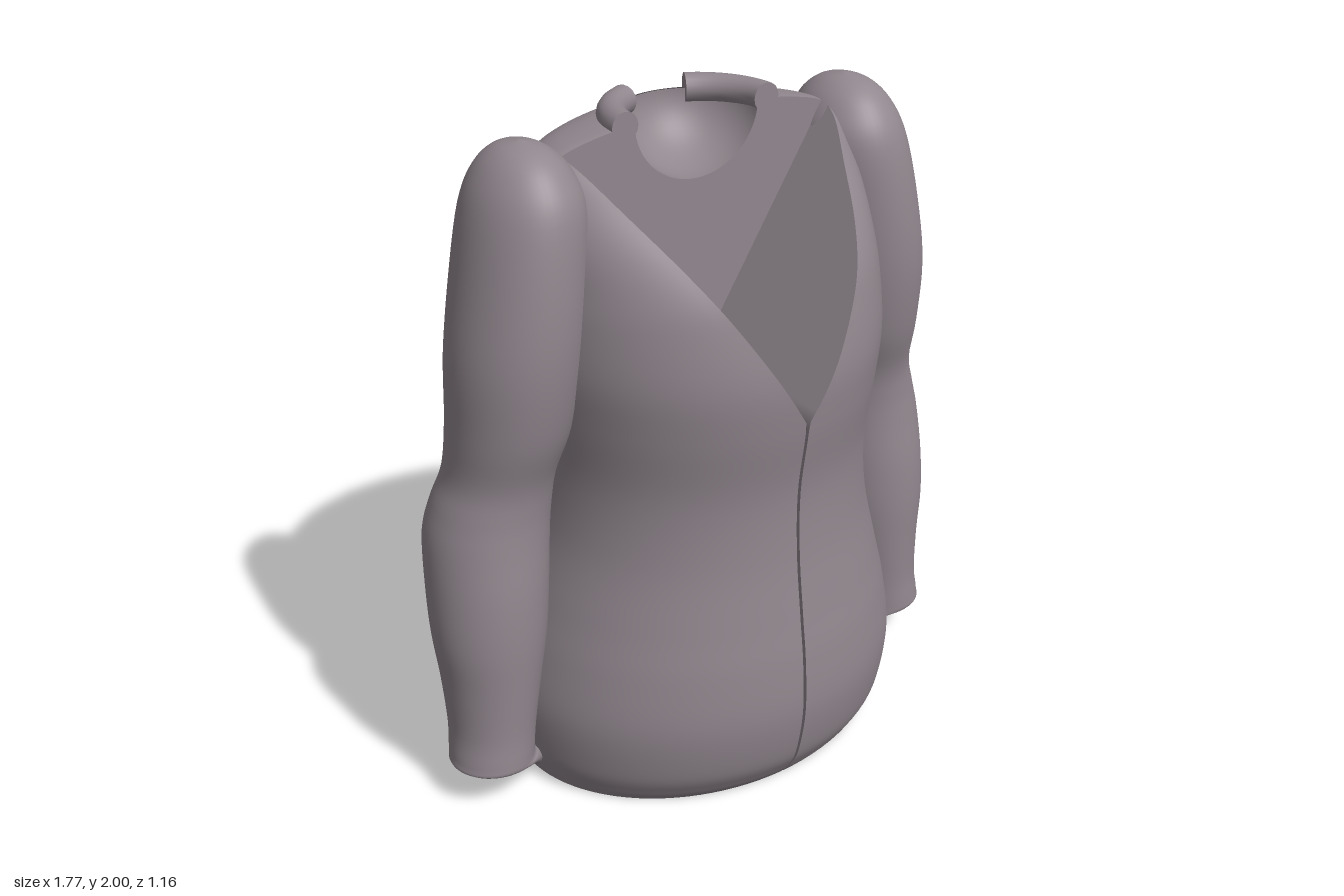
import * as THREE from 'three';
import { mergeVertices } from 'three/addons/utils/BufferGeometryUtils.js';

const CUT_Z = 0.03;      // back plane of the neckline cut
const RIM_Y = 1.96;      // height of the neck rim
const V_BOTTOM = 1.215;  // lowest point of the neckline

// Torso sections: height, half width, front depth, back depth
const TORSO = [
  [0, 0.6, 0.48, 0.52], [0.04, 0.615, 0.51, 0.54], [0.12, 0.635, 0.55, 0.56],
  [0.28, 0.645, 0.577, 0.577], [0.45, 0.615, 0.57, 0.54], [0.6, 0.575, 0.55, 0.5],
  [0.8, 0.525, 0.525, 0.47], [1, 0.51, 0.52, 0.455], [1.2, 0.53, 0.547, 0.45],
  [1.35, 0.545, 0.555, 0.445], [1.5, 0.54, 0.53, 0.44], [1.6, 0.53, 0.495, 0.43],
  [1.7, 0.525, 0.42, 0.41], [1.8, 0.515, 0.31, 0.36], [1.88, 0.49, 0.22, 0.3],
  [1.92, 0.43, 0.16, 0.26], [1.945, 0.33, 0.12, 0.225], [RIM_Y, 0.22, 0.1, 0.2],
];

// Arm sections: height, outer x, inner x, front z, back z
const ARM = [
  [0.03, 0.62, 0.58, 0.06, 0.02], [0.085, 0.7, 0.59, 0.11, -0.04], [0.115, 0.8, 0.61, 0.15, -0.07],
  [0.13, 0.875, 0.625, 0.168, -0.083], [0.16, 0.878, 0.625, 0.169, -0.09],
  [0.25, 0.868, 0.61, 0.165, -0.11], [0.4, 0.872, 0.58, 0.17, -0.14], [0.55, 0.885, 0.55, 0.175, -0.165],
  [0.7, 0.882, 0.53, 0.17, -0.195], [0.85, 0.868, 0.51, 0.155, -0.22], [0.95, 0.84, 0.5, 0.15, -0.205],
  [1.05, 0.806, 0.49, 0.16, -0.18], [1.2, 0.795, 0.45, 0.205, -0.175], [1.4, 0.785, 0.42, 0.235, -0.185],
  [1.6, 0.75, 0.4, 0.235, -0.195], [1.8, 0.705, 0.385, 0.21, -0.19], [1.9, 0.66, 0.42, 0.16, -0.15],
  [1.955, 0.605, 0.475, 0.09, -0.085], [1.975, 0.54, 0.54, 0, 0],
];

// Smoothly interpolates every column of a section table
function sampleRows(table, steps) {
  const columns = table[0].map((_, k) =>
    new THREE.SplineCurve(table.map((row) => new THREE.Vector2(row[0], row[k]))));
  const count = (table.length - 1) * steps;
  return Array.from({ length: count + 1 }, (_, i) => columns.map((c) => c.getPoint(i / count).y));
}

// Skins a list of equally long point rows
function loft(rows) {
  const n = rows[0].length;
  const index = [];
  for (let i = 0; i < rows.length - 1; i++) {
    for (let j = 0; j < n - 1; j++) {
      const a = i * n + j, b = a + 1, c = a + n, d = c + 1;
      index.push(a, b, d, a, d, c);
    }
  }
  const geometry = new THREE.BufferGeometry().setFromPoints(rows.flat());
  geometry.setIndex(index);
  const merged = mergeVertices(geometry, 1e-5);
  merged.computeVertexNormals();
  return merged;
}

// Horizontal torso section, open at the front where the seam and neckline cut it
function torsoRing([y, halfWidth, front, back]) {
  const cut = Math.max(0.005, (y - V_BOTTOM) / 1.6);
  const start = Math.min(Math.asin(Math.min(1, cut / halfWidth)), Math.acos(CUT_Z / front));
  const n = 96;
  return Array.from({ length: n + 1 }, (_, j) => {
    const t = start + (2 * Math.PI - 2 * start) * (j / n);
    const depth = Math.cos(t) > 0 ? front : back;
    return new THREE.Vector3(halfWidth * Math.sin(t), y, depth * Math.cos(t));
  });
}

function armRing([y, outer, inner, front, back], side) {
  const n = 48;
  return Array.from({ length: n + 1 }, (_, j) => {
    const t = (j / n) * Math.PI * 2;
    const x = (outer + inner) / 2 + side * ((outer - inner) / 2) * Math.sin(t);
    return new THREE.Vector3(side * x, y, (front + back) / 2 + ((front - back) / 2) * Math.cos(t));
  });
}

export function createModel() {
  const model = new THREE.Group();
  const cloth = new THREE.MeshStandardMaterial({ color: 0x91878e, side: THREE.DoubleSide });
  cloth.name = 'mauve grey cloth';
  const add = (name, geometry, parent = model) => {
    const mesh = new THREE.Mesh(geometry, cloth);
    mesh.name = name;
    parent.add(mesh);
    return mesh;
  };

  // Torso shell
  const rings = sampleRows(TORSO, 6).map(torsoRing);
  add('torso', loft(rings));

  // Flat sides of the neckline and front seam, running back to the cut plane
  const inset = (p) => new THREE.Vector3(p.x, p.y, CUT_Z);
  add('leftOpeningSide', loft(rings.map((r) => [inset(r[0]), r[0]])));
  add('rightOpeningSide', loft(rings.map((r) => [r[r.length - 1], inset(r[r.length - 1])])));

  // Flat panel behind the neckline, scooped out at the neck
  const edge = rings.map((r) => new THREE.Vector2(r[0].x, r[0].y));
  const scoop = Array.from({ length: 33 }, (_, i) => {
    const t = (i / 32) * Math.PI;
    return new THREE.Vector2(0.205 * Math.cos(t), RIM_Y - 0.19 * Math.sin(t));
  });
  const mirrored = edge.map((p) => new THREE.Vector2(-p.x, p.y)).reverse();
  const panel = new THREE.ShapeGeometry(new THREE.Shape([...edge, ...scoop, ...mirrored]));
  add('necklinePanel', panel).position.z = CUT_Z;

  // Neck hollow: back half of a bowl
  const bowl = new THREE.SphereGeometry(1, 32, 16, 0, Math.PI, Math.PI / 2, Math.PI / 2);
  bowl.scale(0.205, 0.19, 0.225);
  bowl.rotateY(Math.PI);
  add('neckHollow', bowl).position.set(0, RIM_Y, CUT_Z);

  // Flat underside, with the seam slit
  const first = rings[0];
  const outline = [...first, inset(first[first.length - 1]), inset(first[0])];
  const base = new THREE.ShapeGeometry(new THREE.Shape(outline.map((p) => new THREE.Vector2(p.x, p.z))));
  base.rotateX(Math.PI / 2);
  add('underside', base);

  // Sleeves
  const armRows = sampleRows(ARM, 5);
  for (const side of [1, -1]) {
    add(side > 0 ? 'leftArm' : 'rightArm', loft(armRows.map((row) => armRing(row, side))));
  }

  // Rolled collar: two arcs with a gap at the back
  const radius = 0.235, tube = 0.042, arc = 1.12;
  for (const side of [1, -1]) {
    const collar = new THREE.Group();
    collar.name = side > 0 ? 'leftCollar' : 'rightCollar';
    collar.position.set(0, 2 - tube, CUT_Z);
    collar.scale.x = side;
    add('collarRoll', new THREE.TorusGeometry(radius, tube, 16, 24, arc).rotateX(-Math.PI / 2), collar);
    add('collarFrontEnd', new THREE.CircleGeometry(tube, 16), collar).position.x = radius;
    const end = add('collarBackEnd', new THREE.CircleGeometry(tube, 16), collar);
    end.position.set(radius * Math.cos(arc), 0, -radius * Math.sin(arc));
    end.rotation.y = Math.PI + arc;
    model.add(collar);
  }
  return model;
}
